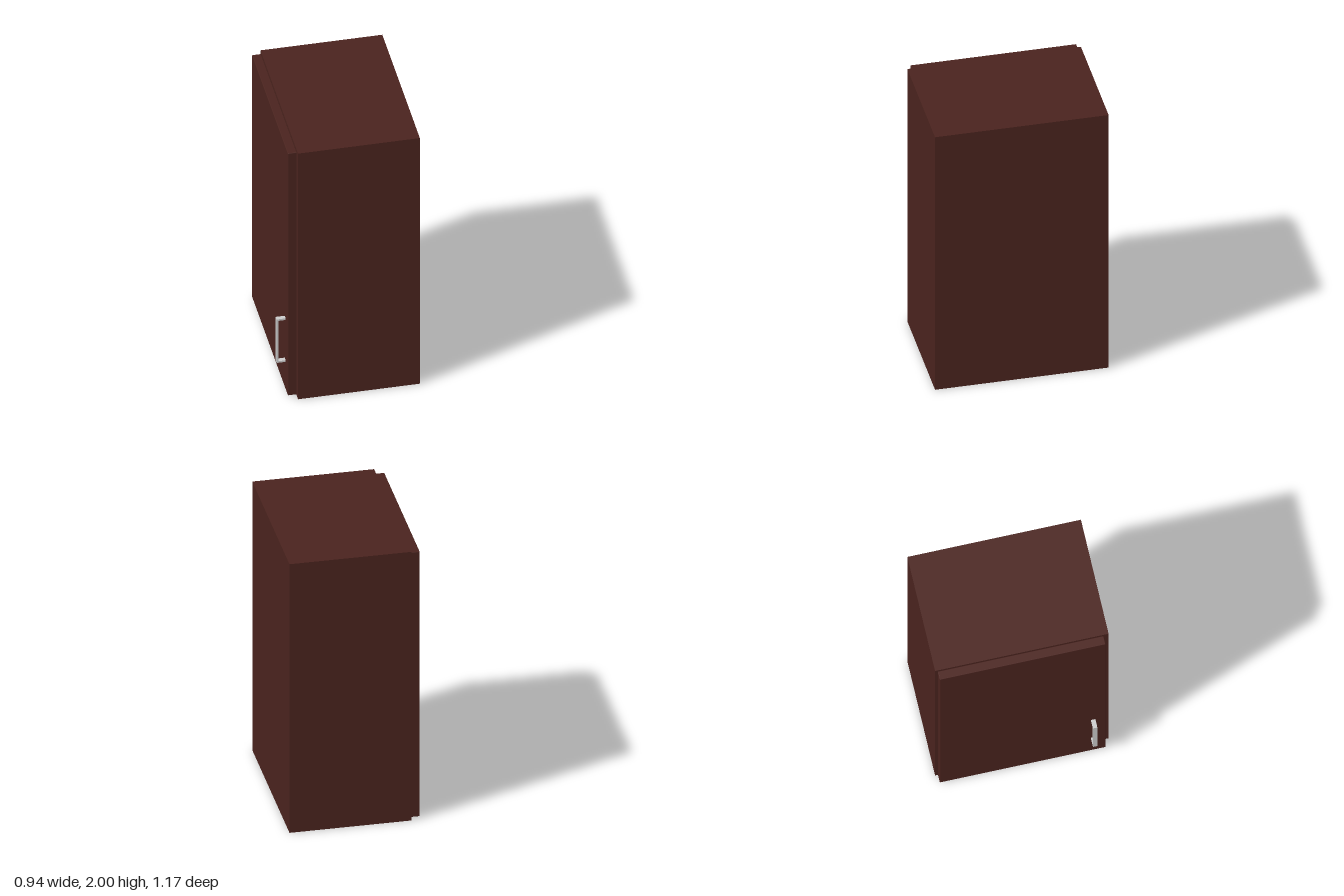
import * as THREE from 'three';
import { RoundedBoxGeometry } from 'three/addons/geometries/RoundedBoxGeometry.js';

export function createModel() {
  const group = new THREE.Group();
  const wood = new THREE.MeshStandardMaterial({ color: 0x4a231e });
  const metal = new THREE.MeshStandardMaterial({ color: 0xcccccc });

  const add = (name, geometry, material, x, y, z) => {
    const mesh = new THREE.Mesh(geometry, material);
    mesh.name = name;
    mesh.position.set(x, y, z);
    group.add(mesh);
  };

  // Cabinet carcass
  add('cabinetBody', new THREE.BoxGeometry(0.816, 2, 1.166), wood, 0.06, 1, 0);

  // Door panel on the -x side, with slightly eased edges
  add('door', new RoundedBoxGeometry(0.06, 1.97, 1.114, 2, 0.004), wood, -0.379, 1, -0.008);

  // Flat-bar pull handle: a C-shaped profile extruded along z
  const t = 0.013, bottom = 0.24, top = 0.594, outer = -0.47, inner = -0.405;
  const profile = new THREE.Shape([
    [inner, bottom], [inner, bottom + t], [outer + t, bottom + t], [outer + t, top - t],
    [inner, top - t], [inner, top], [outer, top], [outer, bottom],
  ].map(([x, y]) => new THREE.Vector2(x, y)));
  add('doorHandle', new THREE.ExtrudeGeometry(profile, { depth: 0.03, bevelEnabled: false }), metal, 0, 0, 0.45);

  return group;
}
